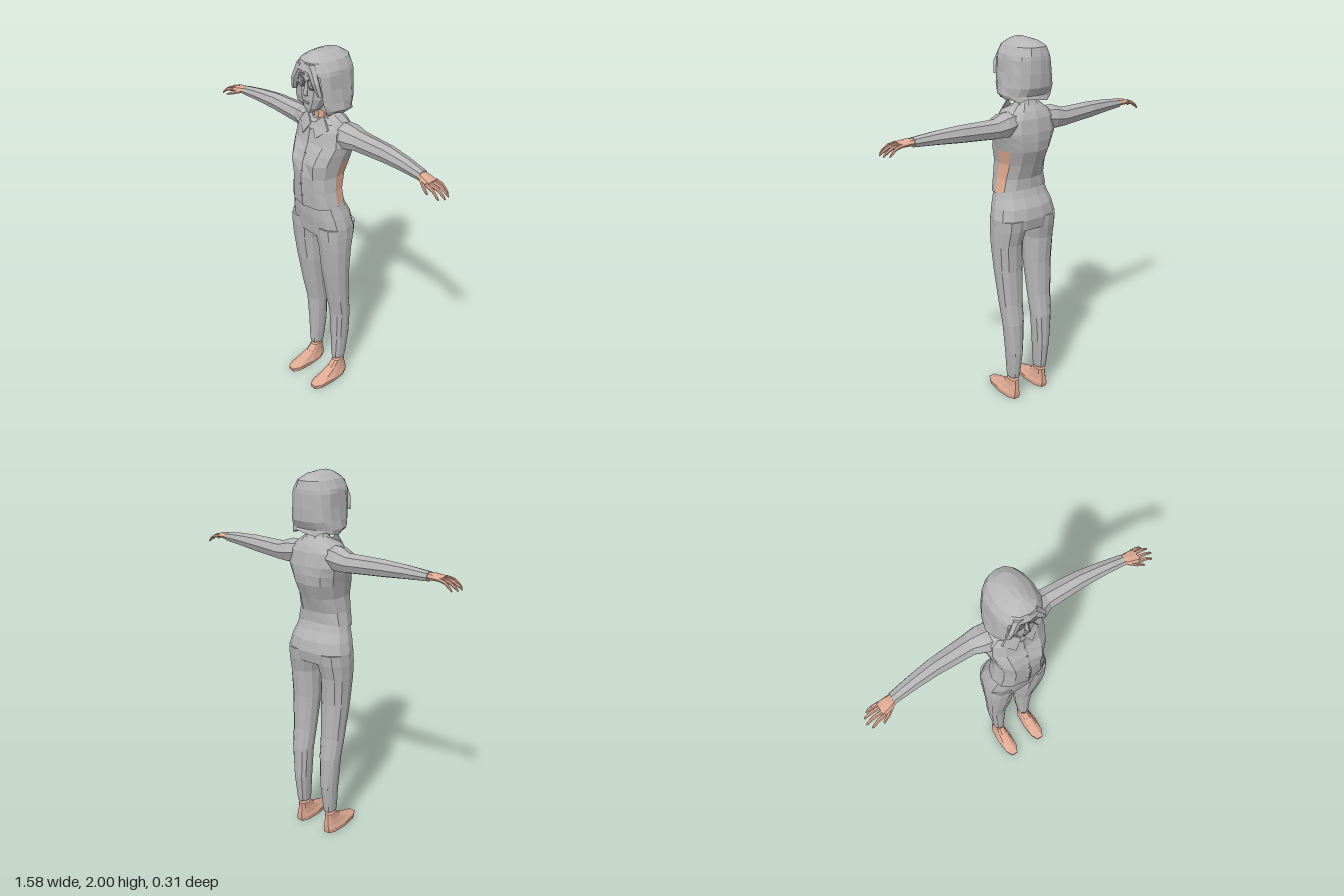
import * as THREE from 'three';

const mat = (name, color) => Object.assign(new THREE.MeshStandardMaterial({ color, flatShading: true }), { name });

// Rounded cross-section: p < 1 makes it boxier
const pw = (v, p) => Math.sign(v) * Math.pow(Math.abs(v), p);
function ring(n, p, place) {
  return Array.from({ length: n }, (_, i) => {
    const t = (i / n) * Math.PI * 2;
    return place(pw(Math.cos(t), p), pw(Math.sin(t), p), i);
  });
}

// Skin over a row of rings, capped at both ends; side -1 mirrors it in x.
// pick(level, segment) sends a face to the second material.
function loft(rings, side = 1, pick = () => false) {
  const faces = [[], []];
  const tri = (m, a, b, c) => {
    for (const v of side > 0 ? [a, b, c] : [a, c, b]) faces[m].push(v[0] * side, v[1], v[2]);
  };
  const n = rings[0].length;
  const centre = (r) => [0, 1, 2].map((k) => r.reduce((s, v) => s + v[k], 0) / n);
  const first = rings[0], last = rings[rings.length - 1];
  const c0 = centre(first), c1 = centre(last);
  for (let i = 0; i < n; i++) {
    const j = (i + 1) % n;
    for (let l = 0; l < rings.length - 1; l++) {
      const a = rings[l], b = rings[l + 1], m = pick(l, i) ? 1 : 0;
      tri(m, a[i], b[i], b[j]);
      tri(m, a[i], b[j], a[j]);
    }
    tri(0, c0, first[i], first[j]);
    tri(0, c1, last[j], last[i]);
  }
  const g = new THREE.BufferGeometry();
  g.setAttribute('position', new THREE.Float32BufferAttribute(faces.flat(), 3));
  g.addGroup(0, faces[0].length / 3, 0);
  g.addGroup(faces[0].length / 3, faces[1].length / 3, 1);
  g.computeVertexNormals();
  return g;
}

// Upright form, stations [y, centre x, half width, back z, front z, tilt]
const upright = (rows, n, p, side, pick) => loft(rows.map(([y, cx, rx, zb, zf, tilt = 0]) =>
  ring(n, p, (c, s) => [cx + c * rx, y + tilt * s, (zb + zf) / 2 + s * (zf - zb) / 2])), side, pick);

// Sideways form, stations [x, y, z, half height, half depth]
const sideways = (rows, n, side) => loft(rows.map(([x, y, z, ry, rz]) =>
  ring(n, 0.9, (c, s) => [x, y + s * ry, z + c * rz])), side);

export function createModel() {
  const model = new THREE.Group();
  model.name = 'woman';
  const grey = mat('clothGrey', 0xb6b6b6);
  const skin = mat('skin', 0xdfaa93);
  const add = (name, geo, material) => {
    const mesh = new THREE.Mesh(geo, material);
    mesh.name = name;
    model.add(mesh);
    return mesh;
  };

  // Trousers: hips, then two legs
  add('hips', upright([
    [1.03, 0, 0.181, -0.118, 0.086], [1.09, 0, 0.184, -0.129, 0.094], [1.15, 0, 0.17, -0.118, 0.103],
    [1.2, 0, 0.152, -0.092, 0.106], [1.25, 0, 0.138, -0.075, 0.105],
  ], 14, 0.85), grey);

  for (const side of [1, -1]) {
    const label = side > 0 ? 'left' : 'right';
    add(label + 'TrouserLeg', upright([
      [0.135, 0.093, 0.031, -0.095, -0.015], [0.16, 0.093, 0.034, -0.1, -0.01],
      [0.3, 0.093, 0.046, -0.116, -0.009], [0.48, 0.095, 0.058, -0.113, -0.002],
      [0.6, 0.096, 0.065, -0.097, 0.022], [0.8, 0.097, 0.077, -0.09, 0.057],
      [0.95, 0.101, 0.081, -0.1, 0.077], [1.03, 0.094, 0.089, -0.119, 0.088],
      [1.09, 0.09, 0.09, -0.126, 0.09],
    ], 12, 0.9, side), grey);

    // Bare foot with a sloping instep
    add(label + 'Foot', upright([
      [0, 0.098, 0.043, -0.098, 0.155], [0.024, 0.098, 0.046, -0.102, 0.158],
      [0.045, 0.097, 0.036, -0.1, 0.1], [0.078, 0.095, 0.028, -0.094, 0.02],
      [0.115, 0.094, 0.026, -0.09, -0.015],
    ], 10, 0.8, side), skin);

    // Sleeve
    add(label + 'Sleeve', sideways([
      [0.09, 1.6, -0.045, 0.055, 0.07], [0.15, 1.592, -0.052, 0.063, 0.073],
      [0.21, 1.585, -0.064, 0.05, 0.056], [0.4, 1.592, -0.057, 0.043, 0.045],
      [0.52, 1.592, -0.045, 0.034, 0.037], [0.635, 1.588, -0.031, 0.024, 0.03],
    ], 8, side), grey);

    // Hand with drooping fingers and thumb
    add(label + 'Palm', sideways([
      [0.62, 1.588, -0.03, 0.019, 0.025], [0.655, 1.589, -0.023, 0.018, 0.033],
      [0.705, 1.585, -0.015, 0.012, 0.039],
    ], 8, side), skin);
    [[0.765, -0.052, -0.046], [0.785, -0.031, -0.027], [0.79, -0.002, -0.004], [0.775, 0.025, 0.017]]
      .forEach(([tip, zTip, zRoot], i) => add(label + 'Finger' + (i + 1), sideways([
        [0.695, 1.586, zRoot, 0.009, 0.01], [(0.695 + tip) / 2, 1.578, (zRoot + zTip) / 2, 0.009, 0.009],
        [tip - 0.012, 1.558, zTip, 0.007, 0.007], [tip, 1.547, zTip, 0.004, 0.004],
      ], 6, side), skin));
    add(label + 'Thumb', sideways([
      [0.645, 1.585, -0.005, 0.01, 0.012], [0.685, 1.572, 0.022, 0.01, 0.01], [0.72, 1.558, 0.037, 0.005, 0.006],
    ], 6, side), skin);
  }

  // Shirt body, stations [y, half width, back z, front z, tilt, dip between the breasts]
  const shirt = [
    [1.225, 0.15, -0.082, 0.118, -0.018, 0], [1.3, 0.134, -0.084, 0.127, 0, 0.002],
    [1.38, 0.126, -0.112, 0.134, 0, 0.006], [1.455, 0.14, -0.143, 0.139, 0, 0.024],
    [1.505, 0.152, -0.148, 0.115, 0, 0.018], [1.55, 0.163, -0.147, 0.084, 0, 0.004],
    [1.62, 0.152, -0.137, 0.066, 0, 0], [1.655, 0.115, -0.122, 0.056, 0, 0],
    [1.685, 0.06, -0.088, 0.03, -0.022, 0],
  ];
  add('shirt', loft(shirt.map(([y, rx, zb, zf, tilt, dip]) => ring(12, 0.85, (c, s, i) =>
    [c * rx, y + tilt * s, (zb + zf) / 2 + s * (zf - zb) / 2 - (i === 3 ? dip : 0)])),
  1, (level, seg) => level < 3 && seg === 11), [grey, skin]);

  // Button band down the front
  add('buttonBand', upright(shirt.slice(0, 7).map(([y, , , zf, tilt, dip]) =>
    [y + tilt, 0, 0.014, zf - dip - 0.004, zf - dip + 0.005]), 4, 1), grey);
  for (const [y, z] of [[1.27, 0.127], [1.34, 0.134], [1.41, 0.127], [1.5, 0.103]]) {
    const button = add('button', new THREE.CylinderGeometry(0.006, 0.006, 0.006, 6), grey);
    button.rotation.x = Math.PI / 2;
    button.position.set(0, y, z);
  }

  // Collar band and pointed flaps
  add('collar', upright([
    [1.665, 0, 0.078, -0.105, 0.042, -0.02], [1.69, 0, 0.062, -0.092, 0.03, -0.022],
    [1.7, 0, 0.05, -0.08, 0.015, -0.03],
  ], 10, 0.9), grey);
  for (const side of [1, -1]) {
    const outline = [[0.006, 1.645], [0.045, 1.585], [0.098, 1.635], [0.058, 1.695]];
    const flap = new THREE.ExtrudeGeometry(
      new THREE.Shape(outline.map(([x, y]) => new THREE.Vector2(x * side, y))), { depth: 0.008, bevelEnabled: false });
    const pos = flap.attributes.position;
    for (let i = 0; i < pos.count; i++) {
      const x = pos.getX(i), y = pos.getY(i);
      pos.setZ(i, pos.getZ(i) + 0.077 - (y - 1.58) * 0.36 - x * x * 2);
    }
    flap.computeVertexNormals();
    add('collarFlap', flap, grey);
  }

  // Neck and face
  add('neck', upright([
    [1.62, 0, 0.045, -0.08, 0.03], [1.68, 0, 0.042, -0.075, 0.029], [1.79, 0, 0.04, -0.07, 0.03],
  ], 10, 0.9), skin);
  add('face', upright([
    [1.712, 0, 0.02, 0.02, 0.085], [1.735, 0, 0.044, -0.02, 0.092], [1.785, 0, 0.07, -0.05, 0.094],
    [1.85, 0, 0.083, -0.08, 0.092], [1.93, 0, 0.08, -0.08, 0.085],
  ], 12, 0.8), grey);
  add('nose', upright([
    [1.8, 0, 0.013, 0.08, 0.106], [1.812, 0, 0.013, 0.08, 0.114], [1.87, 0, 0.005, 0.08, 0.095],
  ], 4, 1), grey);
  add('mouth', new THREE.BoxGeometry(0.036, 0.009, 0.006).translate(0, 1.765, 0.095), grey);
  for (const side of [1, -1]) {
    add('eyeRim', new THREE.TorusGeometry(0.025, 0.003, 4, 16).translate(side * 0.035, 1.862, 0.093), grey);
    const disc = (r, d) => new THREE.CylinderGeometry(r, r, 0.008, 12).rotateX(Math.PI / 2).translate(side * 0.035, 1.862, d);
    add('eye', disc(0.017, 0.092), grey);
    add('pupil', disc(0.008, 0.095), grey);
    add('eyebrow', new THREE.BoxGeometry(0.045, 0.007, 0.008).rotateZ(-side * 0.15).translate(side * 0.038, 1.897, 0.092), grey);
  }

  // Bobbed hair, opened at the front round the face: [y, half width, back z, front z, opened]
  const hair = [
    [1.715, 0.124, -0.145, 0.07, 1], [1.735, 0.134, -0.138, 0.085, 1], [1.775, 0.128, -0.158, 0.105, 1],
    [1.84, 0.12, -0.161, 0.112, 1], [1.905, 0.114, -0.16, 0.114, 1], [1.925, 0.108, -0.158, 0.115, 0],
    [1.965, 0.084, -0.148, 0.1, 0], [1.988, 0.05, -0.11, 0.065, 0], [2, 0.018, -0.03, 0.035, 0],
  ];
  add('hair', loft(hair.map(([y, rx, zb, zf, opened], l) => ring(16, 0.8, (c, s, i) => {
    const k = 1 + 0.025 * Math.sin(i * 2.4 + l * 1.3) * (l < 8 ? 1 : 0);
    const z = (zb + zf) / 2 + s * (zf - zb) / 2;
    return [c * rx * k, y + (l === 0 ? 0.01 * Math.sin(i * 2.1) : 0), opened && i > 2 && i < 6 ? 0.03 : z];
  })), 1), grey);

  // Swept fringe locks either side of the parting
  add('leftFringe', upright([
    [1.82, 0.09, 0.012, 0.07, 0.1], [1.88, 0.07, 0.026, 0.08, 0.112], [1.96, 0.02, 0.035, 0.07, 0.106],
  ], 6, 1), grey);
  add('rightFringe', upright([
    [1.81, 0.09, 0.012, 0.07, 0.1], [1.87, 0.075, 0.02, 0.08, 0.112], [1.95, 0.04, 0.025, 0.07, 0.106],
  ], 6, 1, -1), grey);

  return model;
}
